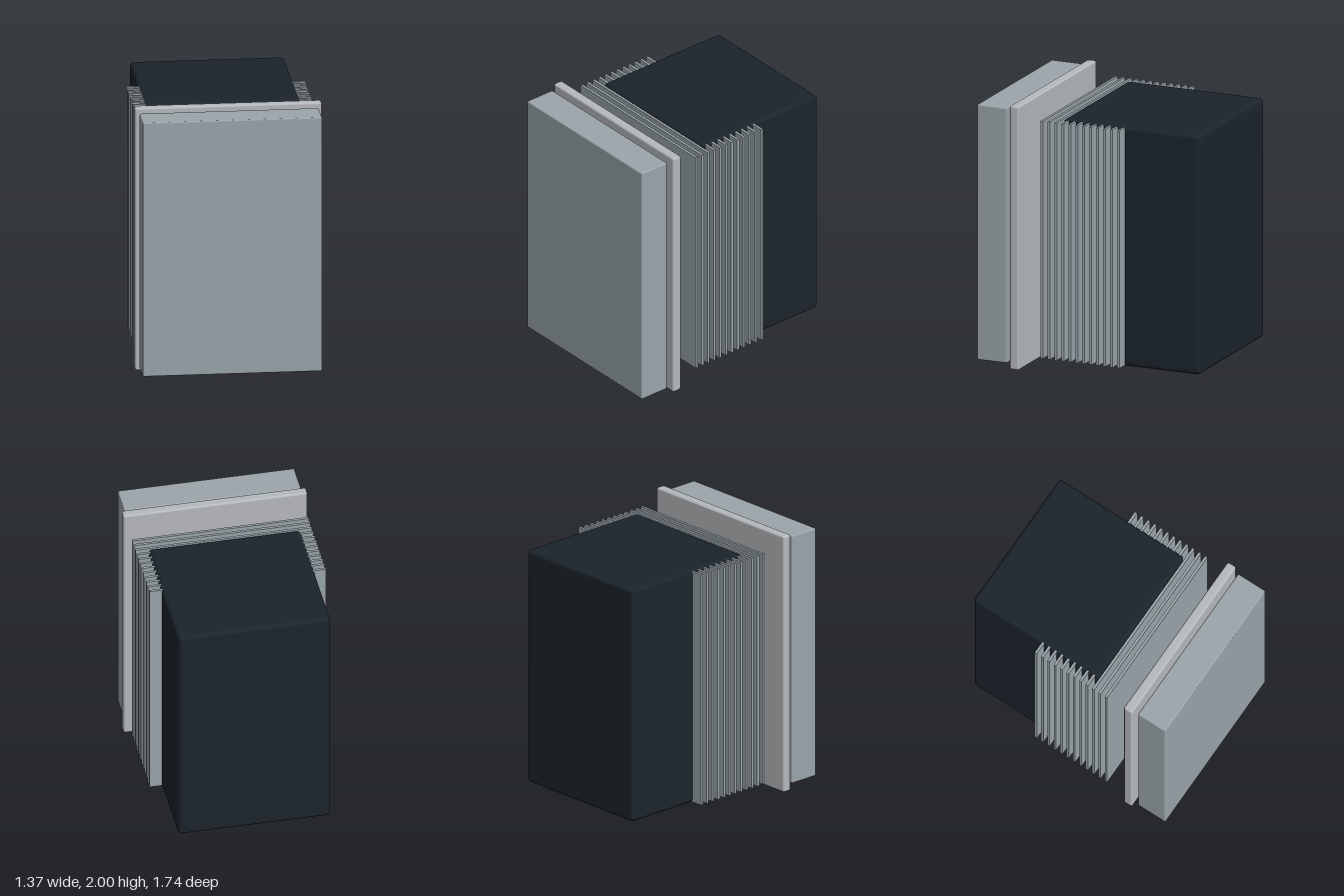
import * as THREE from 'three';
import { RoundedBoxGeometry } from 'three/addons/geometries/RoundedBoxGeometry.js';

const mat = (color) => new THREE.MeshStandardMaterial({ color });

export function createModel() {
  const model = new THREE.Group();
  const slate = mat(0x9aa5ab), silver = mat(0xb7babd), dark = mat(0x1b242b), black = mat(0x0f1316);

  const add = (name, geometry, material, x, y, z, parent = model) => {
    const mesh = new THREE.Mesh(geometry, material);
    mesh.name = name;
    mesh.position.set(x, y, z);
    parent.add(mesh);
    return mesh;
  };

  // Front panel and the slightly larger frame behind it
  add('frontPanel', new RoundedBoxGeometry(1.315, 1.935, 0.24, 3, 0.01), slate, 0, 1.003, 0.752);
  add('frame', new RoundedBoxGeometry(1.37, 2, 0.073, 3, 0.015), silver, 0, 1, 0.56);

  // Cooling fins: evenly spaced plates, most of them passing through the housing
  const fins = new THREE.Group();
  fins.name = 'coolingFins';
  model.add(fins);
  const finGeometry = new THREE.BoxGeometry(1.315, 1.8, 0.02);
  for (let i = 0; i < 12; i++) add('fin', finGeometry, slate, 0, 1.005, 0.352 - i * 0.056, fins);

  // Rear housing
  add('housing', new RoundedBoxGeometry(1.135, 1.815, 1.095, 4, 0.03), dark, 0, 1.005, -0.325);

  // Fan under the housing: disc and six radial blades
  const fan = new THREE.Group();
  fan.name = 'fan';
  fan.position.set(0, 0, -0.35);
  model.add(fan);
  add('fanDisc', new THREE.CylinderGeometry(0.4, 0.4, 0.03, 48), black, 0, 0.095, 0, fan);
  const bladeGeometry = new THREE.BoxGeometry(0.27, 0.027, 0.08).translate(0.19, 0, 0);
  for (let i = 0; i < 6; i++) {
    const blade = add('fanBlade', bladeGeometry, slate, 0, 0.068, 0, fan);
    blade.rotation.y = -(THREE.MathUtils.degToRad(49) + i * Math.PI / 3);
  }
  return model;
}
